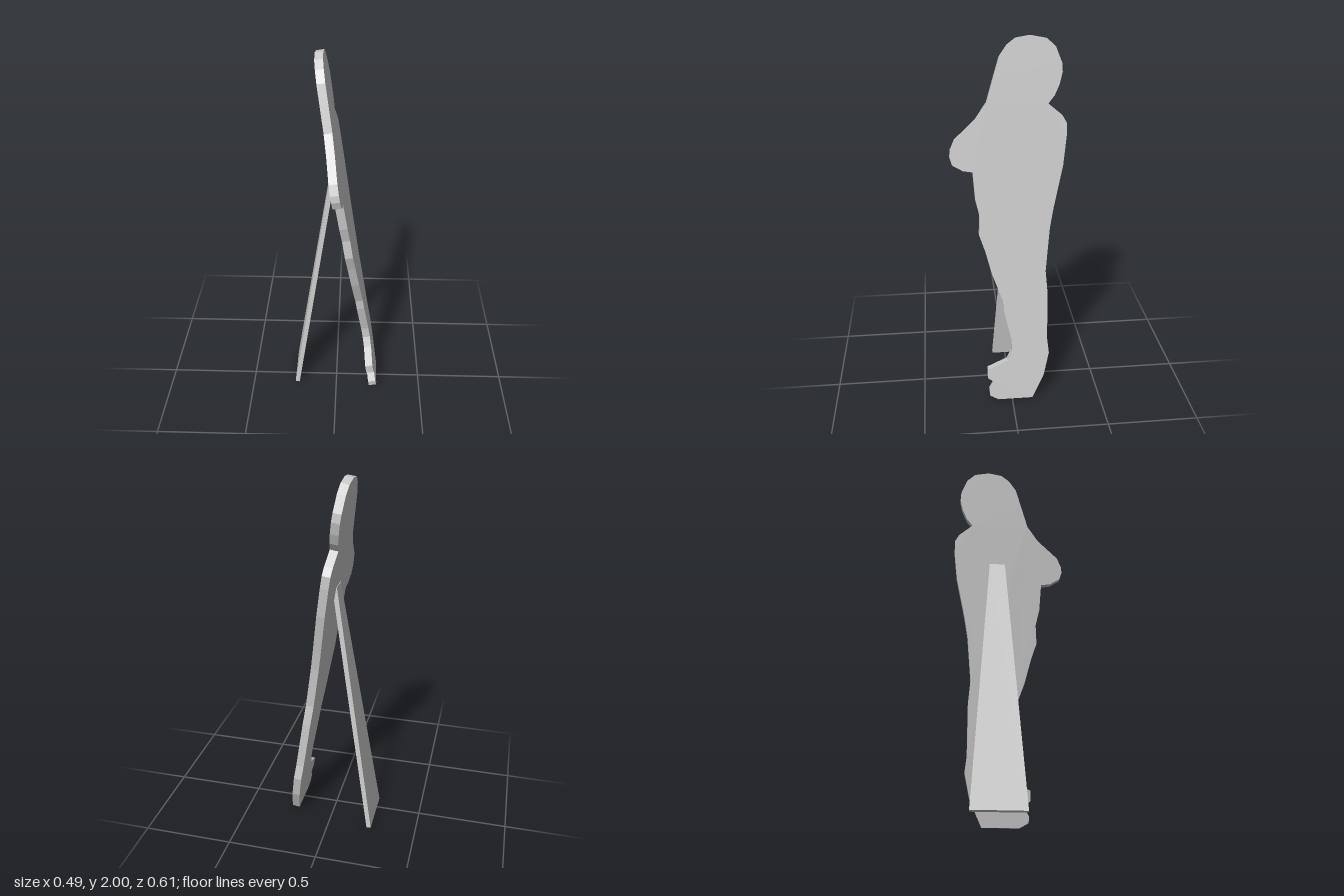
import * as THREE from 'three';

const material = new THREE.MeshStandardMaterial({ color: 0xcccccc, flatShading: true });

// Flat board cut from a [z, y] outline. Its thickness runs from x0 to x1,
// then it leans about the z axis at floor level and moves to footX.
function leaningBoard(name, outline, x0, x1, lean, footX) {
  const shape = new THREE.Shape(
    outline.map(([z, y]) => new THREE.Vector2(-z, y / Math.cos(lean)))
  );
  const geometry = new THREE.ExtrudeGeometry(shape, { depth: x1 - x0, bevelEnabled: false });
  geometry.translate(0, 0, x0);
  geometry.rotateY(Math.PI / 2);
  geometry.rotateZ(lean);
  geometry.translate(footX, 0, 0);
  const mesh = new THREE.Mesh(geometry, material);
  mesh.name = name;
  return mesh;
}

// Standing figure in profile
const figure = [
  // crown, face side and shoulder
  [-0.12, 2.0], [-0.045, 1.988], [0.0, 1.955], [0.04, 1.9], [0.07, 1.805], [0.11, 1.675],
  [0.17, 1.59], [0.28, 1.49],
  // elbow
  [0.303, 1.44], [0.307, 1.405], [0.295, 1.365], [0.24, 1.333], [0.19, 1.325],
  // waist and front of the legs
  [0.18, 1.175], [0.16, 1.09], [0.165, 0.985], [0.135, 0.895], [0.1, 0.76], [0.045, 0.61],
  [0.04, 0.55], [0.0, 0.37], [0.0, 0.305], [0.025, 0.25],
  // two toes and the sole
  [0.08, 0.225], [0.137, 0.2], [0.137, 0.148], [0.1, 0.12], [0.13, 0.07], [0.127, 0.038],
  [0.08, 0.012], [-0.115, 0.012],
  // heel and back
  [-0.18, 0.15], [-0.21, 0.285], [-0.2, 0.37], [-0.202, 0.65], [-0.192, 0.77],
  [-0.215, 1.01], [-0.235, 1.12], [-0.285, 1.345], [-0.303, 1.5], [-0.303, 1.565],
  [-0.28, 1.605], [-0.207, 1.665],
  // back of the head
  [-0.24, 1.705], [-0.265, 1.76], [-0.28, 1.82], [-0.277, 1.865], [-0.245, 1.945], [-0.2, 1.985]
];

// Tapered prop behind the figure
const prop = [[-0.103, 1.43], [-0.017, 1.43], [0.077, 0.005], [-0.197, 0.005]];

export function createModel() {
  const group = new THREE.Group();
  group.name = 'standingCutout';
  group.add(
    leaningBoard('figureBoard', figure, -0.043, 0, 0.156, 0.246),
    leaningBoard('supportProp', prop, 0, 0.025, -0.155, -0.249)
  );
  return group;
}
